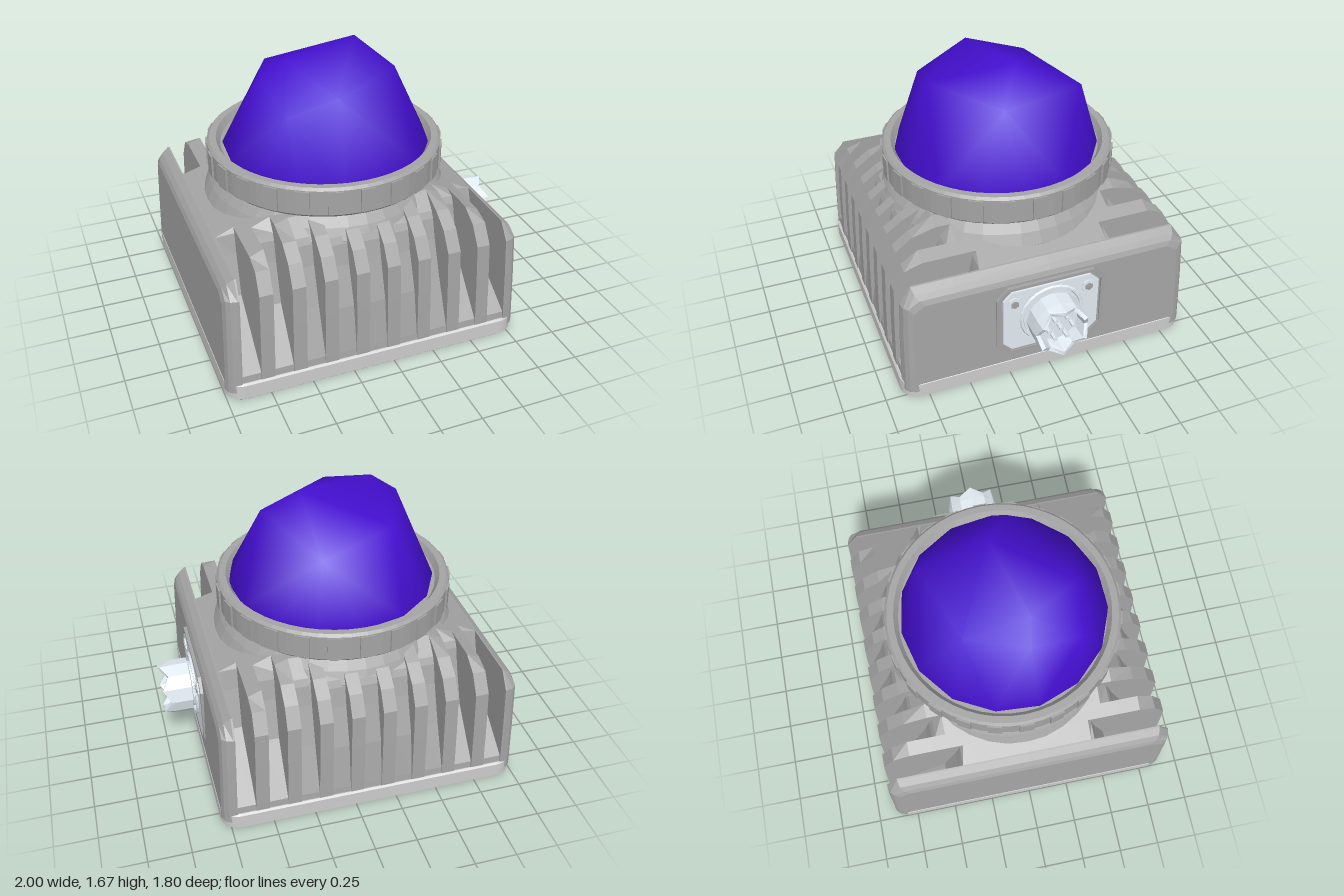
import * as THREE from 'three';
import { ConvexGeometry } from 'three/addons/geometries/ConvexGeometry.js';

const CX = -0.1; // centre line of housing
const shaded = color => new THREE.MeshStandardMaterial({ color, flatShading: true, side: THREE.DoubleSide });
const grey = shaded(0xcccccc);
const darkGrey = shaded(0xa4a4a4);
const paleMetal = shaded(0xe2ecf3);
const purple = new THREE.MeshStandardMaterial({ color: 0x440fd0 });

function add(parent, name, geometry, material, x = 0, y = 0, z = 0) {
  const mesh = new THREE.Mesh(geometry, material);
  mesh.name = name;
  mesh.position.set(x, y, z);
  parent.add(mesh);
  return mesh;
}

const lathe = (pts, sides) => new THREE.LatheGeometry(pts.map(p => new THREE.Vector2(p[0], p[1])), sides);

// Rectangle with cut corners
function cutRect(Type, w, h, c) {
  const pts = [[w - c, -h], [w, c - h], [w, h - c], [w - c, h], [c - w, h], [-w, h - c], [-w, c - h], [c - w, -h]];
  return new Type(pts.map(p => new THREE.Vector2(...p)));
}

// Finned housing: cross-sections in the z-y plane stepped along x
function housingGeometry() {
  const topAt = x => 0.905 - 0.155 * THREE.MathUtils.clamp((Math.abs(x) - 0.45) / 0.37, 0, 1);
  const sections = [];
  const push = (x, half) => {
    const back = half.slice(0, -1).reverse().map(([z, y]) => [-z, y]);
    sections.push([...half, ...back].map(([z, y]) => [x * (1 - 0.035 * y), y, z]));
  };
  const fin = (x, inset = 0, top = topAt(x)) => push(x, [
    [0.89 - inset, 0.05], [0.888 - inset, 0.16], [0.88 - inset, 0.42], [0.868 - inset, Math.min(0.65, top - 0.04)],
    [0.8 - inset, Math.min(0.765, top)], [0.7 - inset, Math.min(0.84, top)], [0.56, top], [0, top]]);
  const slot = (x, centre) => {
    const top = topAt(x), z = Math.sqrt(Math.max(0.16, 0.74 ** 2 - 0.75 * centre ** 2));
    push(x, [[0.89, 0.05], [0.88, 0.15], [Math.min(0.84, z + 0.11), 0.42], [z + 0.03, 0.65],
      [z, Math.min(0.77, top)], [z - 0.02, Math.min(0.81, top)], [Math.min(z - 0.08, 0.56), top], [0, top]]);
  };
  const ends = [[0.9, 0.06, 0.66], [0.888, 0.03, 0.69], [0.865, 0.01, 0.72], [0.825, 0, 0.75]];
  ends.forEach(([x, i, t]) => fin(-x, i, t));
  for (let k = -4; k <= 4; k++) {
    const c = 0.19 * k;
    fin(c - 0.055); slot(c - 0.055, c);
    slot(c + 0.055, c); fin(c + 0.055);
  }
  ends.reverse().forEach(([x, i, t]) => fin(x, i, t));

  const n = sections[0].length, last = sections.length - 1, index = [];
  for (let i = 0; i < last; i++) for (let j = 0; j < n; j++) {
    const a = i * n + j, b = i * n + (j + 1) % n;
    index.push(a, a + n, b, b, a + n, b + n);
  }
  for (let j = 1; j < n - 1; j++) index.push(0, j, j + 1, last * n, last * n + j + 1, last * n + j);
  const g = new THREE.BufferGeometry();
  g.setAttribute('position', new THREE.Float32BufferAttribute(sections.flat(2), 3));
  g.setIndex(index);
  const flat = g.toNonIndexed();
  flat.computeVertexNormals();
  return flat;
}

// Base plate with rounded corners and screw holes
function basePlate(group) {
  const h = 0.89, r = 0.1, s = new THREE.Shape();
  [[1, -1], [1, 1], [-1, 1], [-1, -1]].forEach(([sx, sy], i) =>
    s.absarc(sx * (h - r), sy * (h - r), r, (i - 1) * Math.PI / 2, i * Math.PI / 2, false));
  const hole = (x, z, rad) => s.holes.push(new THREE.Path().absarc(x, -z, rad, 0, Math.PI * 2, true));
  hole(-0.03, -0.46, 0.04);
  hole(0, 0.68, 0.05);
  for (const x of [-0.79, 0.79]) for (const z of [-0.79, 0.79]) {
    hole(x, z, 0.045);
    add(group, 'baseScrew', new THREE.CylinderGeometry(0.03, 0.03, 0.04, 6), grey, CX + x, 0.035, z);
  }
  const g = new THREE.ExtrudeGeometry(s, {
    depth: 0.088, bevelThickness: 0.01, bevelSize: 0.01, bevelSegments: 1, curveSegments: 5 });
  g.rotateX(-Math.PI / 2);
  add(group, 'basePlate', g, grey, CX, 0.01, 0);
}

// Faceted dome with smooth shading
function domeGeometry() {
  const pts = [[0.11, 1.67, -0.04], [-0.36, 1.64, 0.1], [-0.51, 1.54, 0.07], [0.31, 1.5, 0.1],
    [-0.16, 1.5, 0.41], [0.1, 1.45, -0.46], [-0.46, 1.42, 0.38], [-0.37, 1.5, -0.28]].map(p => new THREE.Vector3(...p));
  for (let i = 0; i < 15; i++) {
    const a = THREE.MathUtils.degToRad(i * 24 + 4);
    pts.push(new THREE.Vector3(-0.09 + 0.62 * Math.cos(a), 1.06, 0.01 + 0.62 * Math.sin(a)));
  }
  const g = new ConvexGeometry(pts);
  const p = g.attributes.position, v = new THREE.Vector3(), centre = new THREE.Vector3(-0.09, 0.98, 0.01);
  for (let i = 0; i < p.count; i++) {
    v.fromBufferAttribute(p, i).sub(centre).normalize();
    g.attributes.normal.setXYZ(i, v.x, v.y, v.z);
  }
  return g;
}

// Side socket, built facing +z and turned to face +x
function connector() {
  const c = new THREE.Group();
  c.name = 'connector';
  c.position.set(0.77, 0.4, 0);
  c.rotation.y = Math.PI / 2;
  const frame = cutRect(THREE.Shape, 0.335, 0.245, 0.07);
  frame.holes.push(cutRect(THREE.Path, 0.31, 0.225, 0.06));
  add(c, 'socketFrame', new THREE.ExtrudeGeometry(frame, { depth: 0.03, bevelEnabled: false }), darkGrey);
  add(c, 'socketPlate', new THREE.ExtrudeGeometry(cutRect(THREE.Shape, 0.295, 0.212, 0.055),
    { depth: 0.028, bevelEnabled: false }), paleMetal);
  add(c, 'socketRim', new THREE.TorusGeometry(0.185, 0.013, 6, 24), paleMetal, 0, 0, 0.03);
  for (const x of [-0.23, 0.23]) {
    add(c, 'plateScrew', new THREE.CylinderGeometry(0.045, 0.045, 0.02, 8).rotateX(Math.PI / 2), paleMetal, x, 0.13, 0.026);
    add(c, 'screwCore', new THREE.CylinderGeometry(0.025, 0.025, 0.02, 6).rotateX(Math.PI / 2), darkGrey, x, 0.13, 0.032);
  }
  // Hollow barrel with a scalloped lip
  const barrel = lathe([[0.14, 0], [0.14, 0.05], [0.165, 0.055], [0.165, 0.15], [0.16, 0.23], [0.135, 0.23],
    [0.125, 0.12], [0, 0.12]], 12);
  const p = barrel.attributes.position;
  for (let i = 0; i < p.count; i++) {
    const seg = Math.floor(i / 8);
    if (p.getY(i) > 0.2 && seg % 2) p.setY(i, 0.185);
  }
  add(c, 'socketBarrel', barrel.rotateX(Math.PI / 2), paleMetal);
  for (let i = 0; i < 7; i++) {
    const a = i * Math.PI / 3, r = i < 6 ? 0.075 : 0;
    add(c, 'contactPin', new THREE.CylinderGeometry(0.014, 0.014, 0.07, 6).rotateX(Math.PI / 2), paleMetal,
      r * Math.cos(a), r * Math.sin(a), 0.15);
  }
  return c;
}

export function createModel() {
  const group = new THREE.Group();
  group.name = 'beacon';
  basePlate(group);
  add(group, 'finnedHousing', housingGeometry(), darkGrey, CX);

  // Sloped neck between housing and ring
  add(group, 'neck', lathe([[0.7, 0.7], [0.735, 0.78], [0.7, 0.85], [0.66, 0.905], [0.62, 0.94]], 40), darkGrey, CX);

  // Clamp ring with grip ribs
  add(group, 'clampRing', lathe([[0.58, 0.93], [0.68, 0.915], [0.7, 0.935], [0.7, 1.085], [0.685, 1.1],
    [0.645, 1.1], [0.62, 1.06], [0, 1.06]], 48), darkGrey, CX);
  for (let i = 0; i < 24; i++) {
    const a = i * Math.PI / 12;
    add(group, 'gripRib', new THREE.BoxGeometry(0.085, 0.14, 0.02), darkGrey,
      CX + 0.698 * Math.sin(a), 1.01, 0.698 * Math.cos(a)).rotation.y = a;
  }

  add(group, 'dome', domeGeometry(), purple);
  group.add(connector());
  return group;
}
